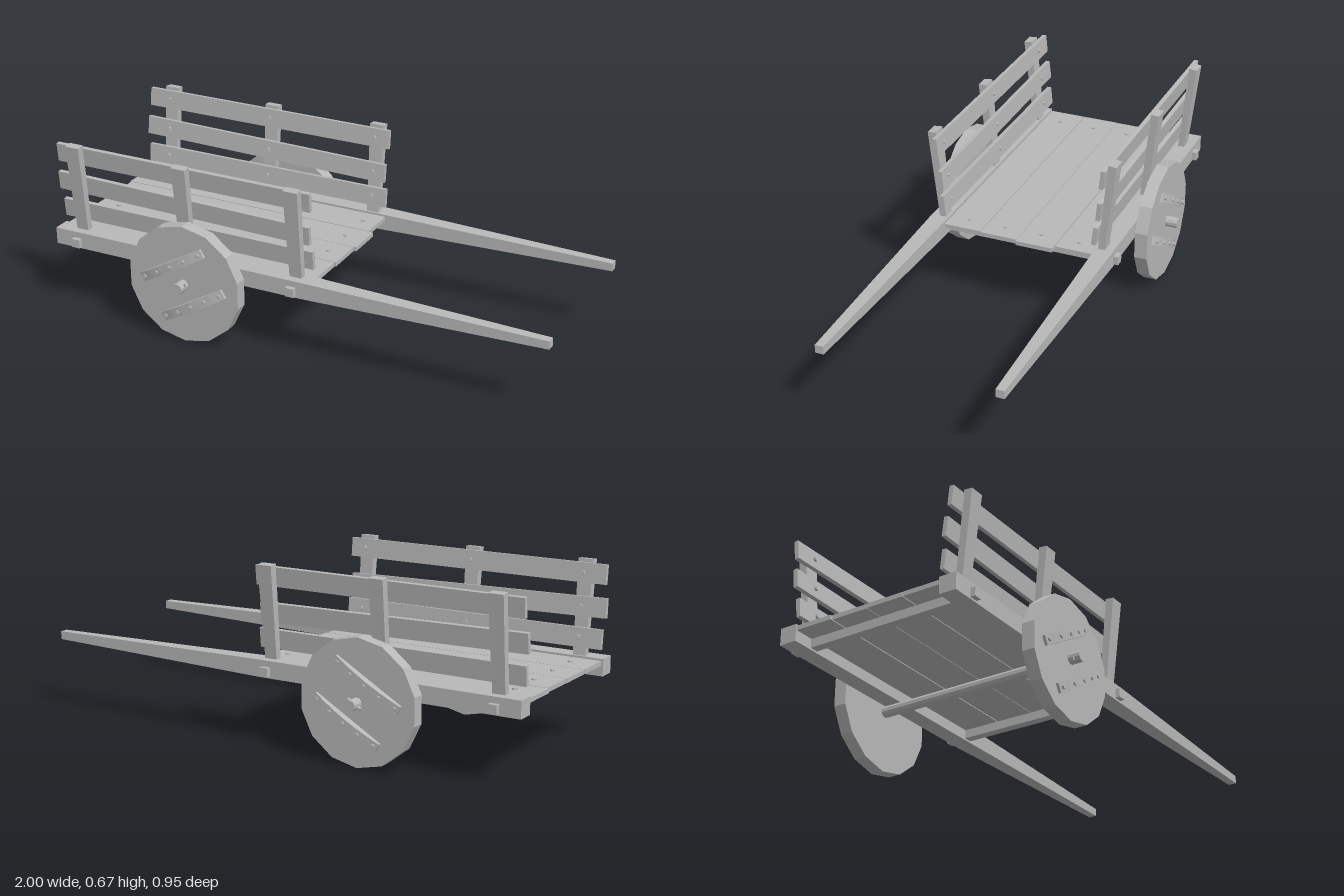
import * as THREE from 'three';

const wood = new THREE.MeshStandardMaterial({ color: 0xb8b8b8, flatShading: true });
wood.name = 'greyWood';

function add(parent, name, geometry, x = 0, y = 0, z = 0) {
  const mesh = new THREE.Mesh(geometry, wood);
  mesh.name = name;
  mesh.position.set(x, y, z);
  parent.add(mesh);
  return mesh;
}

const box = (w, h, d) => new THREE.BoxGeometry(w, h, d);

// Move every vertex of a geometry by a rule
function reshape(geometry, rule) {
  const p = geometry.attributes.position;
  const v = new THREE.Vector3();
  for (let i = 0; i < p.count; i++) {
    rule(v.fromBufferAttribute(p, i));
    p.setXYZ(i, v.x, v.y, v.z);
  }
  geometry.computeVertexNormals();
  return geometry;
}

// Long beam that narrows into a handle at the +x end
function shaftGeometry() {
  return reshape(new THREE.BoxGeometry(2, 0.065, 0.068, 2), v => {
    if (v.x > 0.9) { v.y *= 0.48; v.z *= 0.48; }
    else if (v.x > -0.1) v.x = 0.05;
  });
}

// Post, slimmer at the foot
function postGeometry() {
  return reshape(box(0.058, 0.375, 0.033), v => {
    if (v.y < 0) { v.x *= 0.84; v.z *= 0.78; }
  });
}

// Wheel batten with an arched outer face
function battenGeometry(s) {
  return reshape(new THREE.BoxGeometry(0.3, 0.036, 0.028, 6), v => {
    if (v.z * s > 0) v.z = s * (0.014 - 0.018 * (v.x / 0.15) ** 2);
  });
}

// Bolt head pointing along z
function bolt(parent, x, y, z, r = 0.009) {
  add(parent, 'bolt', new THREE.CylinderGeometry(r, r, 0.012, 6), x, y, z).rotation.x = Math.PI / 2;
}

const POSTS = [-0.9, -0.44, 0.02];

// Slatted side leaning outwards; s is the sign of z
function addSide(cart, s) {
  const side = new THREE.Group();
  side.name = s > 0 ? 'frontSide' : 'backSide';
  side.position.set(0, 0.3, s * 0.321);
  side.rotation.x = s * 0.103;
  cart.add(side);
  for (const x of POSTS) add(side, 'post', postGeometry(), x, 0.187, 0);

  // centre x, centre y, length, tilt
  const rails = [[-0.455, 0.325, 1.07, 0], [-0.465, 0.195, 1.07, -0.016], [-0.455, 0.088, 1.07, 0]];
  for (const [x, y, length, tilt] of rails) {
    add(side, 'rail', box(length, 0.073, 0.017), x, y, -s * 0.023).rotation.z = tilt;
    for (const px of POSTS) bolt(side, px, y + (px - x) * tilt, -s * 0.034);
  }
}

// Solid wheel with two battens, bolts and a linch pin
function addWheel(cart, s) {
  const wheel = new THREE.Group();
  wheel.name = s > 0 ? 'frontWheel' : 'backWheel';
  wheel.position.set(-0.4, 0.237, s * 0.403);
  cart.add(wheel);
  add(wheel, 'wheelDisc', new THREE.CylinderGeometry(0.235, 0.235, 0.05, 14)).rotation.x = Math.PI / 2;

  const battens = new THREE.Group();
  battens.name = 'battens';
  battens.rotation.z = Math.PI / 6;
  wheel.add(battens);
  for (const y of [-0.084, 0.084]) {
    add(battens, 'batten', battenGeometry(s), 0, y, s * 0.039);
    for (let i = -2; i <= 2; i++) bolt(battens, i * 0.066, y, s * (0.053 - 0.0035 * i * i), 0.008);
  }
  add(battens, 'linchPin', box(0.06, 0.012, 0.012), 0, 0, s * 0.045);
}

export function createModel() {
  const cart = new THREE.Group();
  cart.name = 'handCart';

  for (const s of [1, -1]) {
    add(cart, 'shaft', shaftGeometry(), 0, 0.288, s * 0.335);
    addSide(cart, s);
    addWheel(cart, s);
  }

  // Axle and cross bars
  add(cart, 'axle', new THREE.CylinderGeometry(0.021, 0.021, 0.95, 10), -0.4, 0.237, 0).rotation.x = Math.PI / 2;
  for (const x of [-0.902, 0.02]) add(cart, 'crossBar', box(0.034, 0.034, 0.775), x, 0.28, 0);

  // Floor planks with ragged ends: z centre, start x, end x
  const planks = [[-0.226, -0.998, 0.08], [-0.075, -0.992, 0.1], [0.074, -0.994, 0.09], [0.224, -0.994, 0.085]];
  for (const [z, x0, x1] of planks) {
    add(cart, 'floorPlank', box(x1 - x0, 0.017, 0.147), (x0 + x1) / 2, 0.305, z);
    for (const x of [-0.905, 0.02]) {
      add(cart, 'floorBolt', new THREE.CylinderGeometry(0.009, 0.009, 0.01, 6), x, 0.314, z);
    }
  }
  return cart;
}
